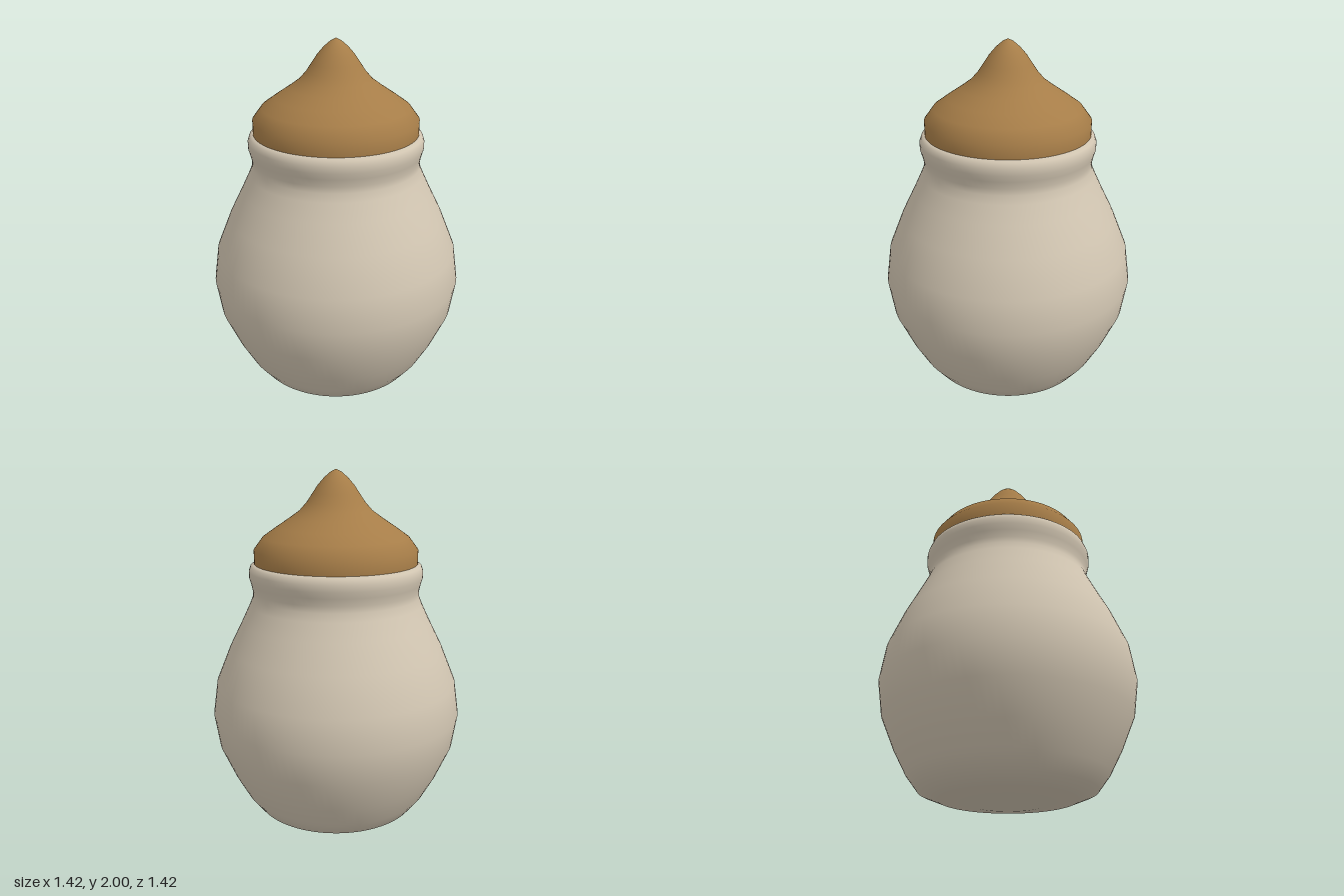
import * as THREE from 'three';

const SEGMENTS = 96;

// Revolve a bottom-to-top [radius, height] profile around the y axis
function turned(name, profile, material) {
  const points = profile.map(([r, y]) => new THREE.Vector2(r, y));
  const mesh = new THREE.Mesh(new THREE.LatheGeometry(points, SEGMENTS), material);
  mesh.name = name;
  return mesh;
}

export function createModel() {
  const stoneware = new THREE.MeshStandardMaterial({ color: 0xd2c6b2 });
  stoneware.name = 'cream stoneware';
  const wood = new THREE.MeshStandardMaterial({ color: 0xa67d48 });
  wood.name = 'brown wood';

  const group = new THREE.Group();
  group.name = 'lidded jar';

  // Pot-bellied body with a slightly rounded foot, narrow neck and rolled rim
  group.add(turned('jarBody', [
    [0, 0], [0.2, 0.008], [0.37, 0.028], [0.475, 0.07], [0.54, 0.155],
    [0.61, 0.285], [0.685, 0.46], [0.712, 0.64], [0.685, 0.825],
    [0.605, 1.02], [0.53, 1.17], [0.485, 1.265], [0.467, 1.31],
    [0.466, 1.345], [0.475, 1.385], [0.485, 1.42], [0.485, 1.455],
    [0.475, 1.483], [0.455, 1.495], [0.42, 1.495],
  ], stoneware));

  // Flat underside closing the lid
  group.add(turned('lidUnderside', [[0, 1.495], [0.455, 1.495]], wood));

  // Domed lid sweeping up into a pointed knob
  group.add(turned('lid', [
    [0.455, 1.495], [0.455, 1.57], [0.405, 1.637], [0.33, 1.69],
    [0.255, 1.74], [0.2, 1.78], [0.16, 1.825], [0.13, 1.87],
    [0.1, 1.915], [0.065, 1.955], [0.03, 1.985], [0, 2],
  ], wood));

  return group;
}
